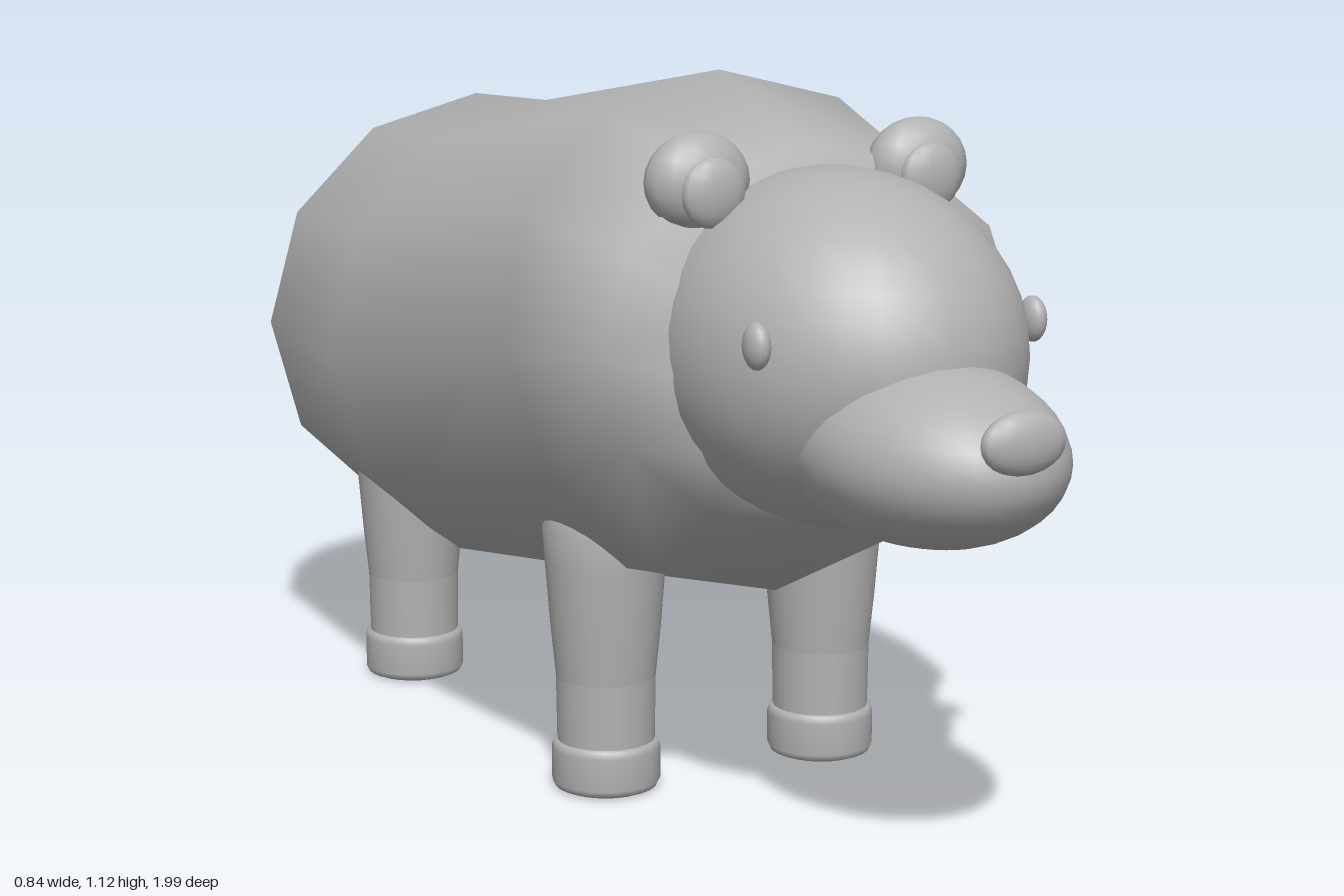
import * as THREE from 'three';

const grey = new THREE.MeshStandardMaterial({ color: 0xb2b2b2 });
grey.name = 'grey';

function add(parent, name, geometry, x = 0, y = 0, z = 0) {
  const mesh = new THREE.Mesh(geometry, grey);
  mesh.name = name;
  mesh.position.set(x, y, z);
  parent.add(mesh);
  return mesh;
}

function ellipsoid(rx, ry, rz, w = 32, h = 20) {
  return new THREE.SphereGeometry(1, w, h).scale(rx, ry, rz);
}

// Twelve-sided tilted rings, from rump to neck: [top z, top y, bottom z, bottom y, half width]
function bodyGeometry() {
  const rings = [
    [-0.98, 0.635, -0.98, 0.635, 0],
    [-0.945, 0.77, -0.995, 0.5, 0.15],
    [-0.89, 0.92, -0.935, 0.325, 0.315],
    [-0.74, 0.995, -0.75, 0.24, 0.395],
    [-0.46, 1.01, -0.37, 0.22, 0.42],
    [0.14, 1.115, 0.32, 0.335, 0.412],
    [0.41, 1.03, 0.45, 0.465, 0.36],
    [0.46, 0.9, 0.56, 0.515, 0.2],
    [0.5, 0.7, 0.5, 0.7, 0],
  ];
  const sides = 12, points = [], index = [];
  rings.forEach(([tz, ty, bz, by, hw], i) => {
    for (let j = 0; j < sides; j++) {
      const a = (j / sides) * Math.PI * 2, s = Math.sin(a);
      points.push(hw * Math.cos(a), (ty + by) / 2 + s * (ty - by) / 2, (tz + bz) / 2 + s * (tz - bz) / 2);
      if (i < rings.length - 1) {
        const p = i * sides + j, q = i * sides + (j + 1) % sides;
        index.push(p, q, p + sides, q, q + sides, p + sides);
      }
    }
  });
  const g = new THREE.BufferGeometry();
  g.setAttribute('position', new THREE.Float32BufferAttribute(points, 3));
  g.setIndex(index);
  g.computeVertexNormals();
  return g;
}

function lathe(profile) {
  return new THREE.LatheGeometry(profile.map(([r, y]) => new THREE.Vector2(r, y)), 24);
}

function leg(name, x, z) {
  const g = new THREE.Group();
  g.name = name;
  g.position.set(x, 0, z);
  // Lower shin, flared thigh and rounded paw
  add(g, 'shin', new THREE.CylinderGeometry(0.078, 0.076, 0.13, 24, 1, true), 0, 0.115, 0);
  add(g, 'thigh', lathe([[0.078, 0.18], [0.086, 0.26], [0.094, 0.36], [0.098, 0.42], [0.085, 0.47], [0.05, 0.5], [0, 0.51]]));
  add(g, 'paw', lathe([[0, 0], [0.07, 0], [0.08, 0.004], [0.085, 0.014], [0.085, 0.066], [0.082, 0.076], [0.074, 0.08], [0, 0.08]]));
  return g;
}

export function createModel() {
  const bear = new THREE.Group();
  bear.name = 'bear';
  add(bear, 'body', bodyGeometry());

  // Head and face
  const head = new THREE.Group();
  head.name = 'head';
  bear.add(head);
  add(head, 'skull', ellipsoid(0.266, 0.263, 0.32), 0, 0.743, 0.487);
  add(head, 'muzzle', ellipsoid(0.18, 0.133, 0.248), 0, 0.635, 0.735);
  add(head, 'nose', ellipsoid(0.068, 0.045, 0.025, 16, 12), 0, 0.69, 0.974);

  for (const [side, s] of [['left', 1], ['right', -1]]) {
    add(head, side + 'Eye', ellipsoid(0.018, 0.034, 0.027, 16, 12), s * 0.23, 0.79, 0.657);
    add(head, side + 'Ear', ellipsoid(0.083, 0.073, 0.052, 16, 12), s * 0.187, 0.987, 0.408);
    add(head, side + 'InnerEar', ellipsoid(0.052, 0.052, 0.022, 14, 10), s * 0.184, 0.975, 0.452);
    bear.add(leg(side + 'FrontLeg', s * 0.195, 0.13));
    bear.add(leg(side + 'BackLeg', s * 0.195, -0.605));
  }
  return bear;
}
